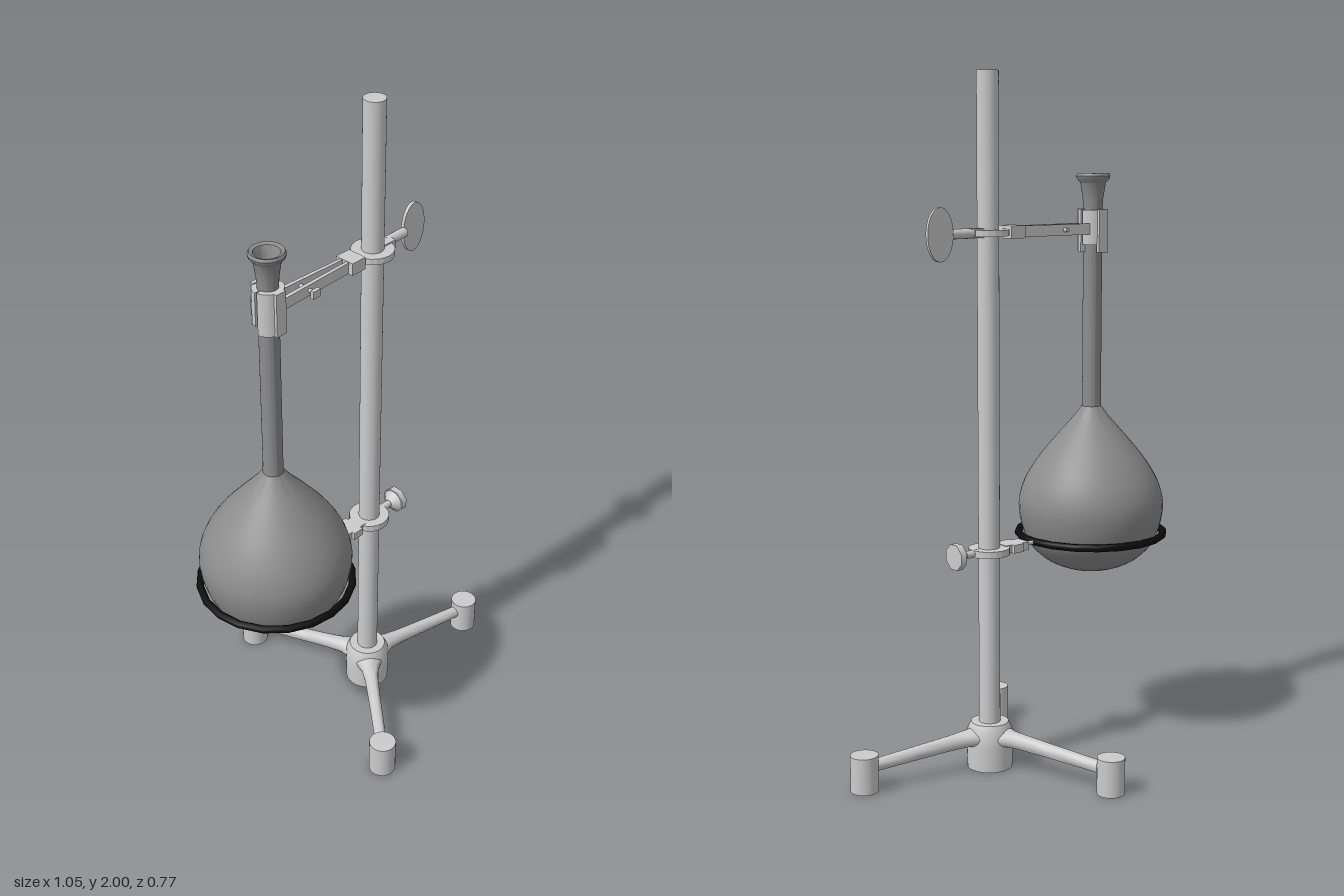
import * as THREE from 'three';
import { toCreasedNormals } from 'three/addons/utils/BufferGeometryUtils.js';

const Z = 0.034, ROD_X = 0.09, FLASK_X = -0.298, RING_Y = 0.648, ARM_Y = 1.558;

export function createModel() {
  const model = new THREE.Group();
  const metal = new THREE.MeshStandardMaterial({ color: 0xcccccc });
  const glass = new THREE.MeshStandardMaterial({ color: 0x8c8c8c, side: THREE.DoubleSide });
  const black = new THREE.MeshStandardMaterial({ color: 0x0c0c0c });

  const add = (name, geo, x, y, z, mat = metal, parent = model) => {
    const mesh = new THREE.Mesh(geo, mat);
    mesh.name = name;
    mesh.position.set(x, y, z);
    parent.add(mesh);
    return mesh;
  };
  const group = (name) => {
    const g = new THREE.Group();
    g.name = name;
    model.add(g);
    return g;
  };
  const lathe = (pts, n = 32) => toCreasedNormals(
    new THREE.LatheGeometry(pts.map(([r, y]) => new THREE.Vector2(r, y)), n), 0.6);
  const cylX = (rLeft, rRight, len, n = 16) =>
    new THREE.CylinderGeometry(rRight, rLeft, len, n).rotateZ(-Math.PI / 2);
  // Flat plate lying in the xz plane, centred on its thickness
  const plate = (shape, h) => new THREE.ExtrudeGeometry(shape,
    { depth: h, bevelEnabled: false, curveSegments: 10 }).rotateX(-Math.PI / 2).translate(0, -h / 2, 0);

  // Upright rod
  add('rod', new THREE.CylinderGeometry(0.031, 0.031, 1.98, 32), ROD_X, 1.01, Z);

  // Tripod base: hub, tapering legs and round feet
  const base = group('base');
  add('hub', lathe([[0, 0], [0.066, 0], [0.068, 0.07], [0.066, 0.115], [0.055, 0.137], [0, 0.137]]),
    ROD_X, 0, Z, metal, base);
  for (const [fx, fz] of [[-0.044, -0.348], [0.485, 0.102], [-0.171, 0.342]]) {
    add('foot', new THREE.CylinderGeometry(0.04, 0.04, 0.106, 28), fx, 0.053, fz, metal, base);
    const len = Math.hypot(fx - ROD_X, fz - Z);
    const geo = cylX(1, 1, len, 16);
    const fine = new THREE.CylinderGeometry(1, 1, len, 16, 10).rotateZ(-Math.PI / 2);
    geo.dispose();
    const p = fine.attributes.position;
    for (let i = 0; i < p.count; i++) {
      const d = p.getX(i) + len / 2, t = d / len;
      const flare = Math.exp(-Math.max(0, d - 0.04) / 0.03);
      const width = 0.021 - 0.004 * t + 0.026 * flare;
      const height = 0.026 - 0.008 * t + 0.004 * flare;
      // Rounded top, flat underside
      const y = Math.max(p.getY(i), -0.75) * height + 0.1 - 0.034 * t;
      p.setXYZ(i, d, y, p.getZ(i) * width);
    }
    fine.computeVertexNormals();
    const leg = add('leg', toCreasedNormals(fine, 0.7), ROD_X, 0, Z, metal, base);
    leg.rotation.y = -Math.atan2(fz - Z, fx - ROD_X);
  }

  // Round-bottomed flask with a long neck
  const body = new THREE.SplineCurve([
    [0.001, 0.533], [0.07, 0.541], [0.14, 0.572], [0.193, 0.63], [0.217, 0.72],
    [0.207, 0.79], [0.17, 0.86], [0.115, 0.93], [0.06, 0.993], [0.029, 1.033],
  ].map(([x, y]) => new THREE.Vector2(x, y))).getPoints(36).map((v) => [v.x, v.y]);
  add('flask', lathe([...body, [0.028, 1.06], [0.028, 1.63]], 40), FLASK_X, 0, Z, glass);

  // Flared mouth, open at the top
  add('flaskMouth', lathe([[0.028, 1.61], [0.03, 1.645], [0.037, 1.69], [0.048, 1.702],
    [0.05, 1.71], [0.046, 1.718], [0.036, 1.714], [0.028, 1.69], [0.022, 1.64], [0.001, 1.61]]),
  FLASK_X, 0, Z, glass);

  // Support ring under the flask
  add('supportRing', new THREE.TorusGeometry(0.219, 0.011, 10, 20).rotateX(Math.PI / 2),
    FLASK_X, RING_Y, Z, black);

  // Collar around the rod, with a lug on each side
  const collar = (parent, y, h) => {
    const s = new THREE.Shape().absarc(0, 0, 0.06, 0, Math.PI * 2);
    s.holes.push(new THREE.Path().absarc(0, 0, 0.03, 0, Math.PI * 2, true));
    add('collar', plate(s, h), ROD_X, y, Z, metal, parent);
  };

  // Lower clamp carrying the ring
  const lower = group('ringClamp');
  collar(lower, RING_Y, 0.02);
  add('ringStem', cylX(0.006, 0.008, 0.06), -0.05, RING_Y, Z, metal, lower);
  add('clampBlock', new THREE.BoxGeometry(0.085, 0.024, 0.05), 0.005, RING_Y, Z, metal, lower);
  add('clampCheek', new THREE.BoxGeometry(0.035, 0.024, 0.07), 0.008, RING_Y, Z, metal, lower);
  add('screw', cylX(0.011, 0.011, 0.08), 0.15, RING_Y, Z, metal, lower);
  add('knobNeck', cylX(0.012, 0.036, 0.022), 0.188, RING_Y, Z, metal, lower);
  add('knob', cylX(0.039, 0.039, 0.02, 8).rotateX(Math.PI / 8), 0.207, RING_Y, Z, metal, lower);

  // Upper clamp with its thumbscrew
  const upper = group('neckClamp');
  collar(upper, ARM_Y, 0.018);
  add('clampBlock', new THREE.BoxGeometry(0.05, 0.036, 0.06), 0.005, ARM_Y, Z, metal, upper);
  add('clampLug', new THREE.BoxGeometry(0.045, 0.026, 0.034), 0.14, ARM_Y, Z, metal, upper);
  add('screw', cylX(0.014, 0.014, 0.075), 0.19, ARM_Y, Z - 0.01, metal, upper);
  const wing = new THREE.Shape().absellipse(0, 0, 0.043, 0.074, 0, Math.PI * 2);
  add('thumbWing', new THREE.ExtrudeGeometry(wing, { depth: 0.01, bevelEnabled: false, curveSegments: 16 }),
    0.268, ARM_Y, Z - 0.021, metal, upper);

  // Two arms widening towards the jaws, and the small screw through them
  for (const side of [-1, 1]) {
    const s = new THREE.Shape([[-0.265, 0.014], [-0.265, 0.026], [-0.01, 0.016], [-0.01, 0.006]]
      .map(([x, z]) => new THREE.Vector2(x, -side * z)));
    add('arm', plate(s, 0.032), 0, ARM_Y, Z, metal, upper);

    // Curved jaw gripping the neck
    const a = side * 0.09, b = side * (Math.PI - 0.09);
    const j = new THREE.Shape().absarc(0, 0, 0.043, a, b, side < 0);
    j.absarc(0, 0, 0.028, b, a, side > 0);
    const front = side < 0;
    add('jaw', plate(j, front ? 0.125 : 0.1), FLASK_X, front ? 1.552 : 1.562, Z, metal, upper);
    add('jawRib', new THREE.BoxGeometry(0.034, 0.125, 0.012),
      FLASK_X, 1.552, Z - side * 0.042, metal, upper);
  }
  add('armScrew', new THREE.CylinderGeometry(0.006, 0.006, 0.08, 10).rotateX(Math.PI / 2),
    -0.172, ARM_Y, Z + 0.004, metal, upper);
  add('armScrewHead', new THREE.BoxGeometry(0.026, 0.022, 0.012), -0.172, ARM_Y, Z + 0.044, metal, upper);

  return model;
}
